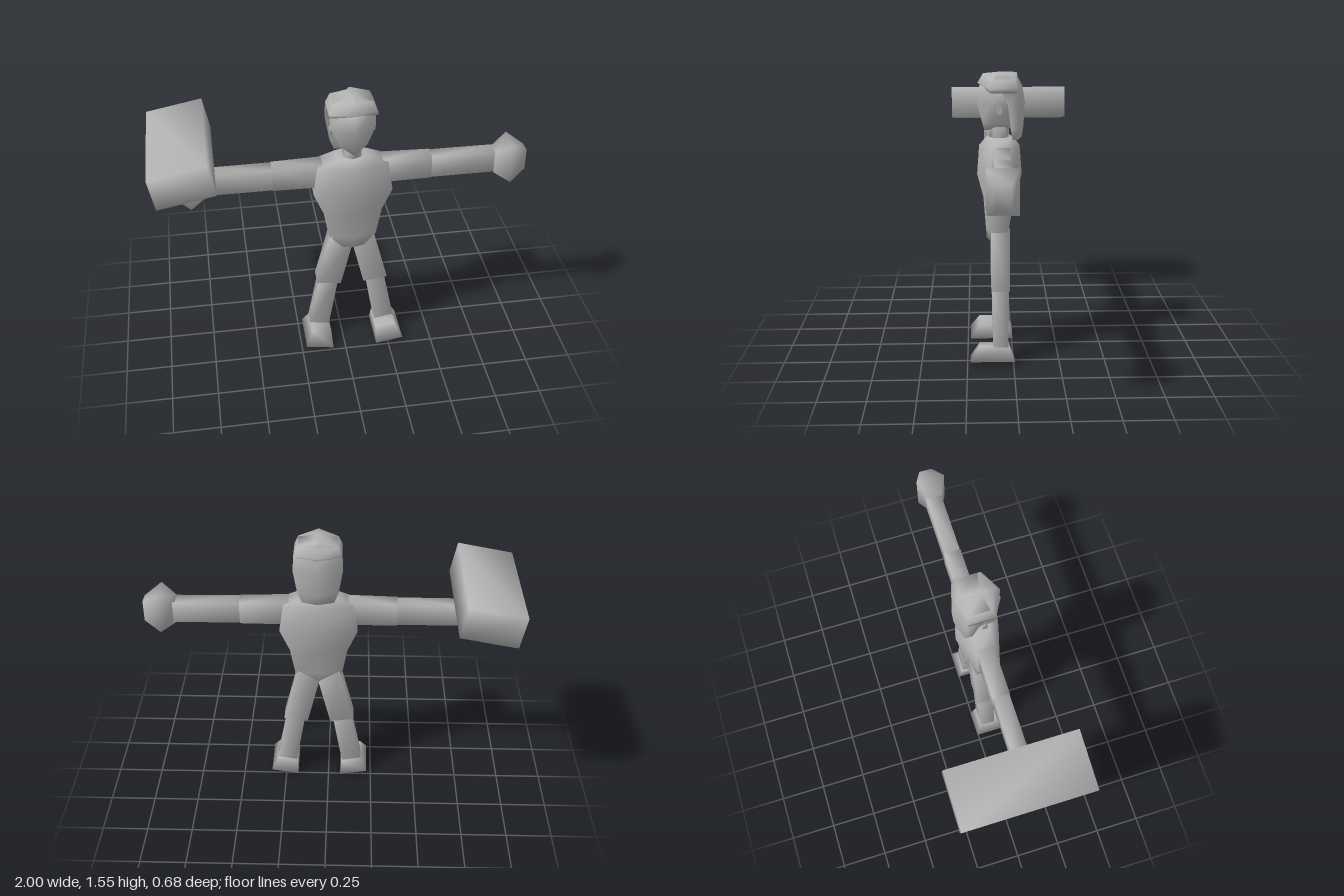
import * as THREE from 'three';

const grey = new THREE.MeshStandardMaterial({ color: 0xb4b4b4 });
grey.name = 'grey';

// Joins cross-section loops with shared (smooth) vertices, closes both ends and faces outward.
function loft(name, rows) {
  const n = rows[0].length, pts = rows.flat(), idx = [];
  for (let r = 0; r < rows.length - 1; r++) {
    for (let i = 0; i < n; i++) {
      const a = r * n + i, b = r * n + (i + 1) % n;
      idx.push(a, b, b + n, a, b + n, a + n);
    }
  }
  const end = (rows.length - 1) * n;
  for (let i = 1; i < n - 1; i++) {
    idx.push(0, i + 1, i, end, end + i, end + i + 1);
  }
  // Signed volume tells whether the loops ran the wrong way round
  const v = pts.map((p) => new THREE.Vector3(...p));
  let volume = 0;
  for (let i = 0; i < idx.length; i += 3) {
    volume += v[idx[i]].dot(v[idx[i + 1]].clone().cross(v[idx[i + 2]]));
  }
  if (volume < 0) idx.reverse();
  const g = new THREE.BufferGeometry();
  g.setAttribute('position', new THREE.Float32BufferAttribute(pts.flat(), 3));
  g.setIndex(idx);
  g.computeVertexNormals();
  const mesh = new THREE.Mesh(g, grey);
  mesh.name = name;
  return mesh;
}

// Six-sided level section: half width, front ridge, side front, side back, back ridge
const hex = (y, w, zf, sf, sb, zb, yFront = y) => [
  [0, yFront, zf], [w, y, sf], [w, y, sb], [0, y, zb], [-w, y, sb], [-w, y, sf],
];
// Rectangular section across the arm
const armCut = (x, y0, y1, z0, z1) => [[x, y0, z0], [x, y0, z1], [x, y1, z1], [x, y1, z0]];
// Four-sided leg section from an inner to an outer point
const legCut = (xi, yi, xo, yo, z0, z1) => [[xi, yi, z0], [xi, yi, z1], [xo, yo, z1], [xo, yo, z0]];
// Five-sided section for the hair down the back
const hairCut = (y, w, front, side, back) => [
  [w, y, front], [w, y, side], [0, y, back], [-w, y, side], [-w, y, front],
];

export function createModel() {
  const model = new THREE.Group();
  model.name = 'figure';
  const body = new THREE.Group();
  body.name = 'body';
  body.position.x = 0.055;
  model.add(body);

  // Torso and neck
  body.add(loft('torso', [
    hex(0.65, 0.06, 0.14, 0.125, 0.04, 0.03),
    hex(0.72, 0.13, 0.145, 0.115, 0.025, 0.02),
    hex(0.88, 0.158, 0.157, 0.12, 0.015, -0.015),
    hex(1.01, 0.212, 0.19, 0.13, 0.005, -0.052),
    hex(1.17, 0.188, 0.178, 0.115, 0.01, -0.04),
    hex(1.215, 0.08, 0.14, 0.11, 0.02, -0.005),
  ]));
  body.add(loft('neck', [
    hex(1.19, 0.048, 0.125, 0.1, 0.04, 0.02),
    hex(1.3, 0.045, 0.12, 0.1, 0.04, 0.02),
  ]));

  // Head, narrowing to the chin
  body.add(loft('head', [
    hex(1.265, 0.035, 0.15, 0.12, 0.02, 0.0, 1.25),
    hex(1.295, 0.075, 0.16, 0.115, 0.01, -0.01, 1.29),
    hex(1.4, 0.115, 0.19, 0.12, 0, -0.03),
    hex(1.5, 0.113, 0.172, 0.115, 0, -0.02),
  ]));

  // Hair: cap with a fringe, and a hanging back
  body.add(loft('hairCap', [
    hex(1.465, 0.127, 0.165, 0.118, -0.02, -0.055, 1.488),
    hex(1.485, 0.126, 0.184, 0.125, -0.025, -0.055, 1.505),
    hex(1.535, 0.105, 0.155, 0.11, -0.015, -0.03, 1.555),
    hex(1.56, 0.015, 0.1, 0.07, 0.03, 0.0),
  ]));
  body.add(loft('hairBack', [
    hairCut(1.21, 0.085, 0.0, -0.025, -0.05),
    hairCut(1.27, 0.108, 0.01, -0.03, -0.06),
    hairCut(1.4, 0.13, 0.025, -0.03, -0.068),
    hairCut(1.465, 0.127, 0.055, -0.028, -0.058),
    hairCut(1.535, 0.105, 0.1, -0.015, -0.03),
    hairCut(1.56, 0.02, 0.08, 0.0, -0.025),
  ]));

  for (const s of [1, -1]) {
    const side = s > 0 ? 'left' : 'right';
    const limb = (name, rows) => body.add(
      loft(side + name, rows.map((row) => row.map(([x, y, z]) => [s * x, y, z]))));

    // Ear
    const ear = new THREE.Mesh(new THREE.CylinderGeometry(0.015, 0.015, 0.025, 8), grey);
    ear.name = side + 'Ear';
    ear.rotation.z = Math.PI / 2;
    ear.scale.x = 1.6;
    ear.position.set(s * 0.107, 1.372, 0.07);
    body.add(ear);

    // Arm
    limb('UpperArm', [
      armCut(0.15, 1.045, 1.182, 0.018, 0.108),
      armCut(0.425, 1.048, 1.174, 0.018, 0.108),
    ]);
    limb('Forearm', [
      armCut(0.4, 1.05, 1.172, 0.02, 0.105),
      armCut(0.785, 1.05, 1.17, 0.02, 0.105),
    ]);
    limb('Hand', [
      armCut(0.77, 1.045, 1.17, 0.028, 0.105),
      armCut(0.855, 1.0, 1.225, -0.008, 0.147),
      armCut(0.945, 1.05, 1.168, 0.032, 0.1),
    ]);

    // Leg
    limb('Thigh', [
      legCut(0.0, 0.66, 0.115, 0.735, 0.015, 0.118),
      legCut(0.065, 0.385, 0.2, 0.403, 0.018, 0.118),
    ]);
    limb('Shin', [
      legCut(0.08, 0.41, 0.182, 0.42, 0.022, 0.114),
      legCut(0.135, 0.08, 0.245, 0.1, 0.028, 0.11),
    ]);
    limb('Foot', [
      legCut(0.125, 0.005, 0.28, 0.03, -0.006, 0.235),
      legCut(0.13, 0.085, 0.24, 0.105, 0.025, 0.185),
    ]);
  }

  // Tilted block held on the right hand
  model.add(loft('block', [-0.342, 0.342].map((z) => [
    [-1.0, 1.325, z], [-0.7, 1.382, z], [-0.665, 1.207, z], [-0.967, 1.15, z],
  ])));
  return model;
}
